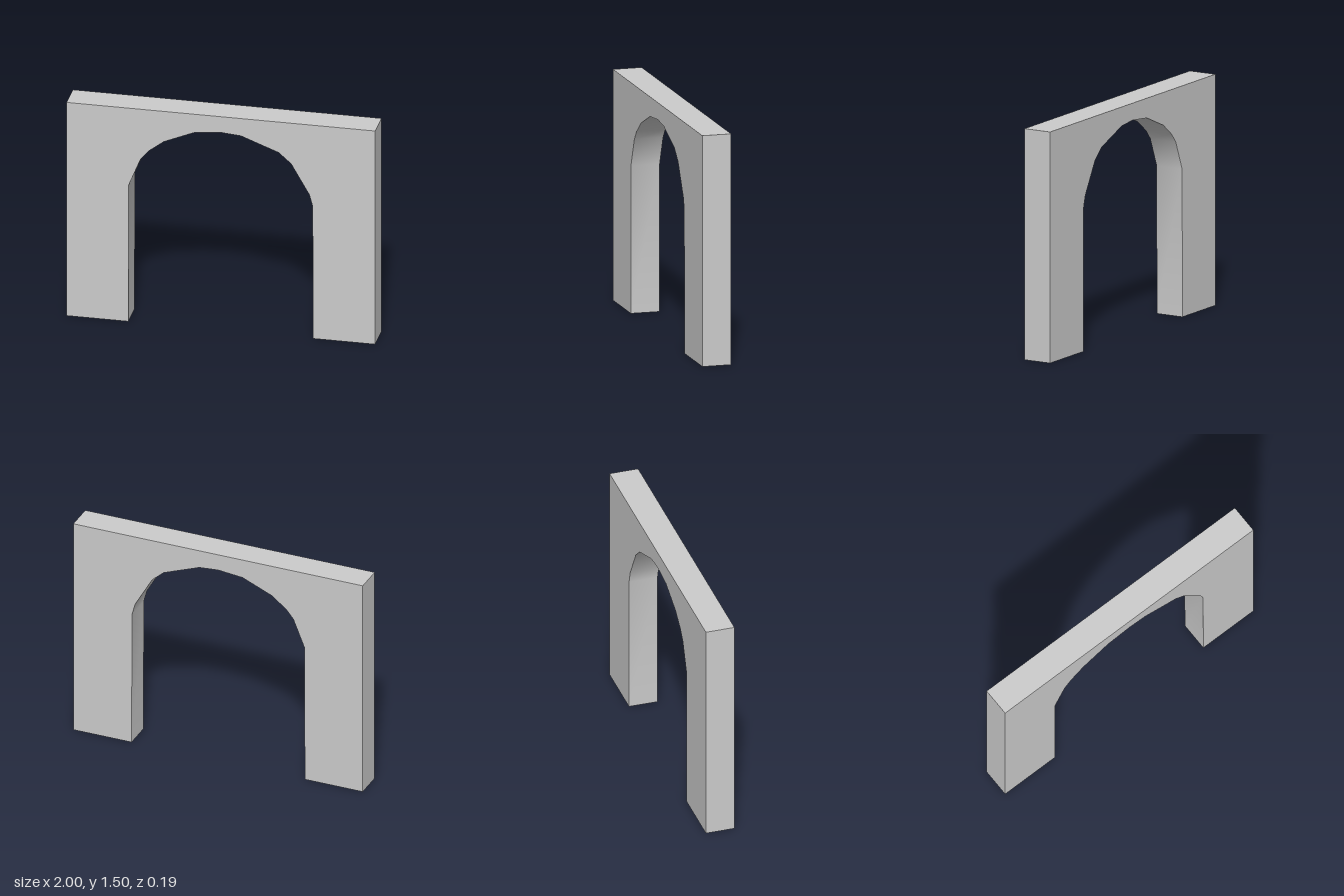
import * as THREE from 'three';
import { toCreasedNormals } from 'three/addons/utils/BufferGeometryUtils.js';

export function createModel() {
  const group = new THREE.Group();
  const width = 2, height = 1.5, depth = 0.19;

  // Slightly irregular hand-cut arch opening, from left foot to right foot
  const opening = [
    [-0.6, 0], [-0.597, 0.96], [-0.52, 1.15], [-0.47, 1.21], [-0.37, 1.287],
    [-0.17, 1.372], [0, 1.389], [0.13, 1.378], [0.375, 1.285], [0.455, 1.215],
    [0.573, 1.01], [0.595, 0.93], [0.597, 0],
  ];

  // Wall outline with the opening cut out from below
  const outline = new THREE.Shape();
  outline.moveTo(width / 2, 0);
  outline.lineTo(width / 2, height);
  outline.lineTo(-width / 2, height);
  outline.lineTo(-width / 2, 0);
  opening.forEach(([x, y]) => outline.lineTo(x, y));
  outline.closePath();

  // Extruded wall, with the underside of the arch shaded smoothly
  const extruded = new THREE.ExtrudeGeometry(outline, { depth, bevelEnabled: false });
  extruded.translate(0, 0, -depth / 2);
  const wall = new THREE.Mesh(
    toCreasedNormals(extruded, 0.6),
    new THREE.MeshStandardMaterial({ color: 0xcccccc })
  );
  wall.name = 'archWall';
  group.add(wall);
  return group;
}
